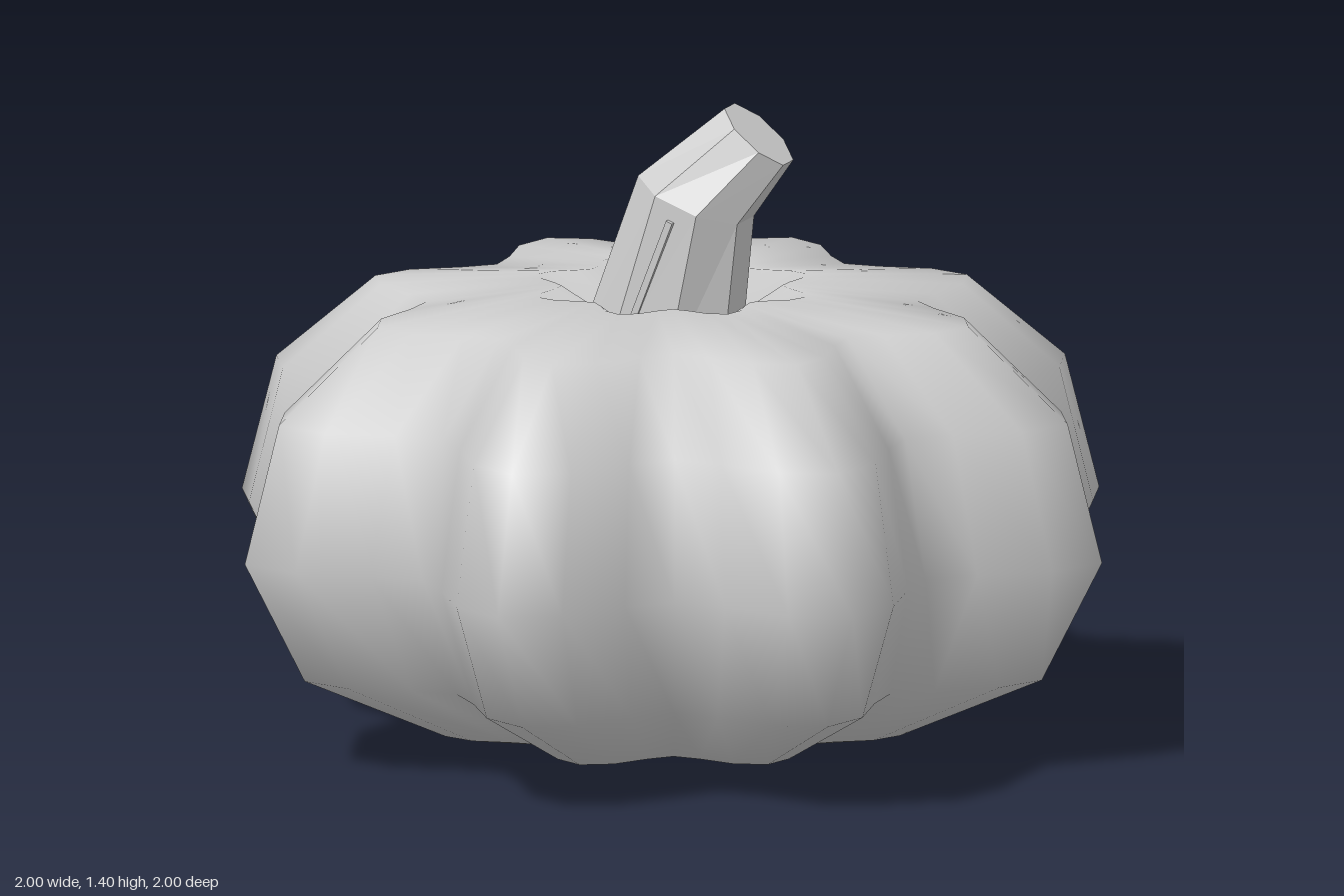
import * as THREE from 'three';
import { mergeVertices } from 'three/addons/utils/BufferGeometryUtils.js';

const grey = new THREE.MeshStandardMaterial({ color: 0xcccccc });
grey.name = 'plain grey';
const greyFlat = grey.clone();
greyFlat.name = 'plain grey faceted';
greyFlat.flatShading = true;

// Lathed body whose radius swells and shrinks into eight lobes
function bodyGeometry() {
  const profile = [
    [0, 0.04], [0.2, 0], [0.53, 0.05], [0.86, 0.2], [1, 0.47],
    [0.92, 0.77], [0.69, 0.965], [0.31, 1], [0, 0.84],
  ].map(([r, y]) => new THREE.Vector2(r, y));
  let geo = new THREE.LatheGeometry(profile, 48);
  const pos = geo.attributes.position;
  for (let i = 0; i < pos.count; i++) {
    const x = pos.getX(i), z = pos.getZ(i);
    const k = 0.8835 + 0.1165 * Math.cos(8 * Math.atan2(x, z));
    pos.setX(i, x * k);
    pos.setZ(i, z * k);
  }
  geo.deleteAttribute('uv');
  geo.deleteAttribute('normal');
  geo = mergeVertices(geo, 1e-4);
  geo.computeVertexNormals();
  return geo;
}

// Bent eight-sided stem made from tilted rings
function stemGeometry() {
  const sides = 8;
  // centre, tilted half-width (x, y), half-depth
  const rings = [
    { c: [-0.035, 0.82, 0.01], u: [0.175, 0], d: 0.13 },
    { c: [0.06, 1.205, 0.01], u: [0.115, -0.045], d: 0.118 },
    { c: [0.188, 1.342, -0.035], u: [0.068, -0.057], d: 0.072 },
  ];
  const verts = [], index = [];
  const grow = 1 / Math.cos(Math.PI / sides);
  for (const { c, u, d } of rings) {
    for (let i = 0; i < sides; i++) {
      const a = ((i + 0.5) / sides) * Math.PI * 2;
      const ca = Math.cos(a) * grow, sa = Math.sin(a) * grow;
      verts.push(c[0] + u[0] * ca, c[1] + u[1] * ca, c[2] + d * sa);
    }
  }
  const tip = verts.length / 3;
  verts.push(...rings[2].c);
  for (let i = 0; i < sides; i++) {
    const n = (i + 1) % sides;
    for (let r = 0; r < rings.length - 1; r++) {
      const a = r * sides, b = a + sides;
      index.push(a + i, b + i, a + n, b + i, b + n, a + n);
    }
    index.push(tip, 2 * sides + n, 2 * sides + i);
  }
  let geo = new THREE.BufferGeometry();
  geo.setAttribute('position', new THREE.Float32BufferAttribute(verts, 3));
  geo.setIndex(index);
  geo = geo.toNonIndexed();
  geo.computeVertexNormals();
  return geo;
}

export function createModel() {
  const model = new THREE.Group();
  model.name = 'pumpkin';
  const add = (name, geo, mat) => {
    const mesh = new THREE.Mesh(geo, mat);
    mesh.name = name;
    model.add(mesh);
    return mesh;
  };

  add('body', bodyGeometry(), grey);
  add('stem', stemGeometry(), greyFlat);

  // Thin ridge on the front of the stem
  const ridge = add('stemRidge', new THREE.BoxGeometry(0.015, 0.25, 0.04), greyFlat);
  ridge.position.set(0.005, 1.055, 0.122);
  ridge.rotation.z = -0.37;

  return model;
}
